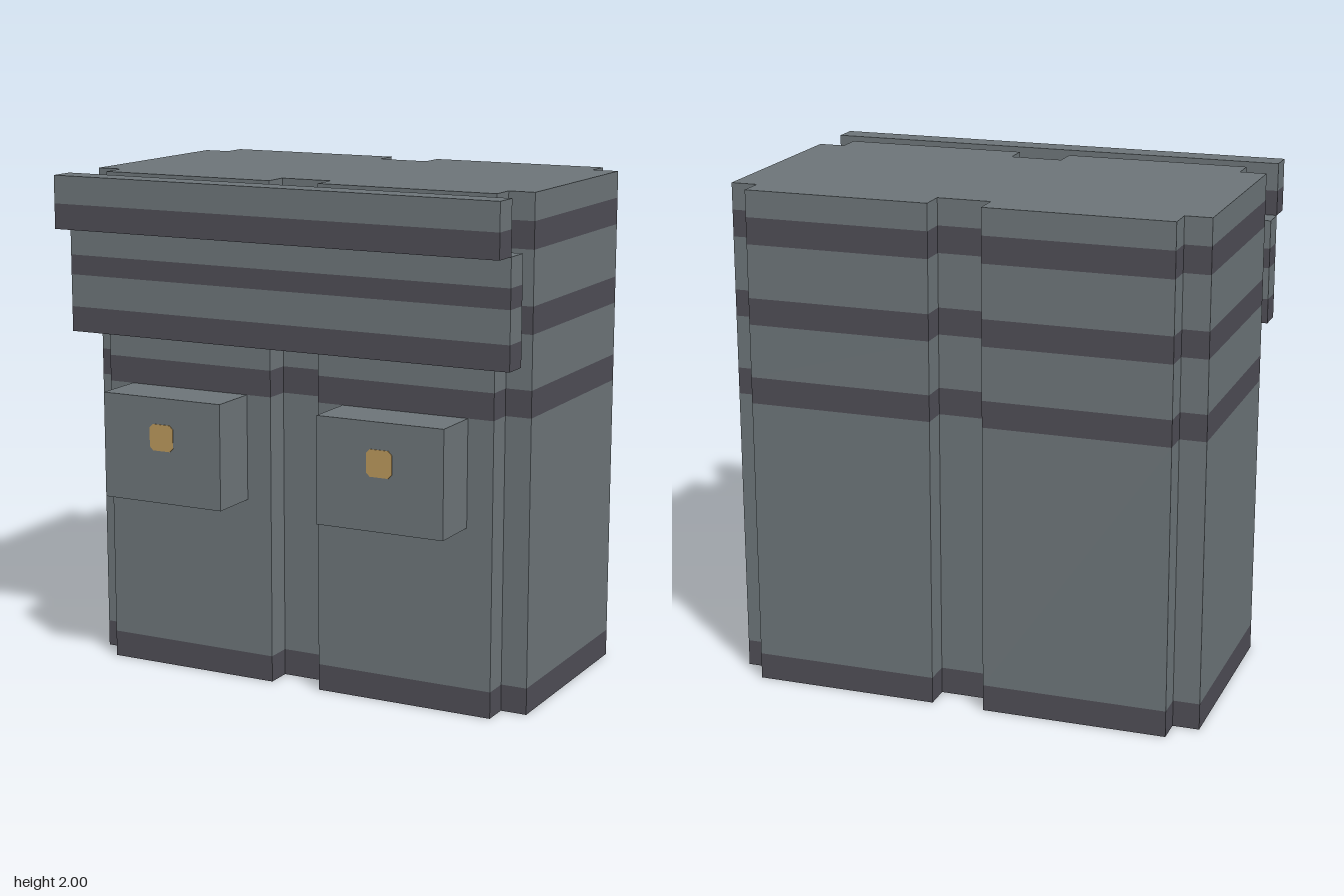
import * as THREE from 'three';

const U = 2 / 19; // one block unit

const grey = new THREE.MeshStandardMaterial({ color: 0x6c7478 });
const dark = new THREE.MeshStandardMaterial({ color: 0x4e4d55 });
const gold = new THREE.MeshStandardMaterial({ color: 0xba985c });
grey.name = 'slateGrey';
dark.name = 'darkBand';
gold.name = 'brass';

function add(group, name, geometry, material) {
  const mesh = new THREE.Mesh(geometry, material);
  mesh.name = name;
  group.add(mesh);
  return mesh;
}

// Upright walls along a closed [x, z] outline, counter-clockwise from above
function walls(outline, y0, y1) {
  const pos = [];
  outline.forEach(([ax, az], i) => {
    const [bx, bz] = outline[(i + 1) % outline.length];
    pos.push(ax, y0, az, bx, y0, bz, bx, y1, bz, ax, y0, az, bx, y1, bz, ax, y1, az);
  });
  const g = new THREE.BufferGeometry();
  g.setAttribute('position', new THREE.Float32BufferAttribute(pos, 3));
  g.computeVertexNormals();
  return g.scale(U, U, U);
}

// Flat cap over the outline, facing up (dir 1) or down (dir -1)
function cap(outline, y, dir) {
  const shape = new THREE.Shape(outline.map(([x, z]) => new THREE.Vector2(x, -dir * z)));
  return new THREE.ShapeGeometry(shape).rotateX(-dir * Math.PI / 2).translate(0, y, 0).scale(U, U, U);
}

// Prism whose walls alternate dark and grey from the bottom level upward
function bandedPrism(name, outline, levels) {
  const group = new THREE.Group();
  group.name = name;
  for (let i = 0; i < levels.length - 1; i++) {
    const isDark = i % 2 === 0;
    add(group, name + (isDark ? 'DarkBand' : 'Panel'), walls(outline, levels[i], levels[i + 1]), isDark ? dark : grey);
  }
  add(group, name + 'Bottom', cap(outline, levels[0], -1), dark);
  add(group, name + 'Top', cap(outline, levels[levels.length - 1], 1), grey);
  return group;
}

const strip = (z0, z1) => [[-9, z1], [9, z1], [9, z0], [-9, z0]];

export function createModel() {
  const model = new THREE.Group();
  model.name = 'bag';

  // Main body: notched corners and a groove down the middle of front and back
  const half = [[1, 3], [1, 4], [8, 4], [8, 3], [9, 3], [9, -5], [8, -5], [8, -6], [1, -6], [1, -5]];
  const outline = [...half, ...half.map(([x, z]) => [-x, z]).reverse()];
  model.add(bandedPrism('body', outline, [0, 1, 11, 12, 14, 15, 17, 18, 19]));

  // Stepped front flap
  model.add(bandedPrism('lowerFlap', strip(4, 5), [13, 13.95, 15.17, 15.92, 17]));
  model.add(bandedPrism('upperFlap', strip(5, 6), [17, 17.95, 19]));

  // Front pockets with chamfered clasps
  const h = 0.5, c = 0.36;
  const octagon = [[c, h], [-c, h], [-h, c], [-h, -c], [-c, -h], [c, -h], [h, -c], [h, c]];
  const claspShape = new THREE.Shape(octagon.map(([x, y]) => new THREE.Vector2(x * U, y * U)));
  for (const side of [1, -1]) {
    const pocket = new THREE.Group();
    pocket.name = side > 0 ? 'leftPocket' : 'rightPocket';
    pocket.position.set(side * 4.5 * U, 9 * U, 5 * U);
    add(pocket, 'pocketBox', new THREE.BoxGeometry(5 * U, 4 * U, 2 * U), grey);
    const clasp = new THREE.ExtrudeGeometry(claspShape, { depth: 0.003, bevelEnabled: false });
    add(pocket, 'clasp', clasp, gold).position.set(0, 0.5 * U, U);
    model.add(pocket);
  }
  return model;
}
